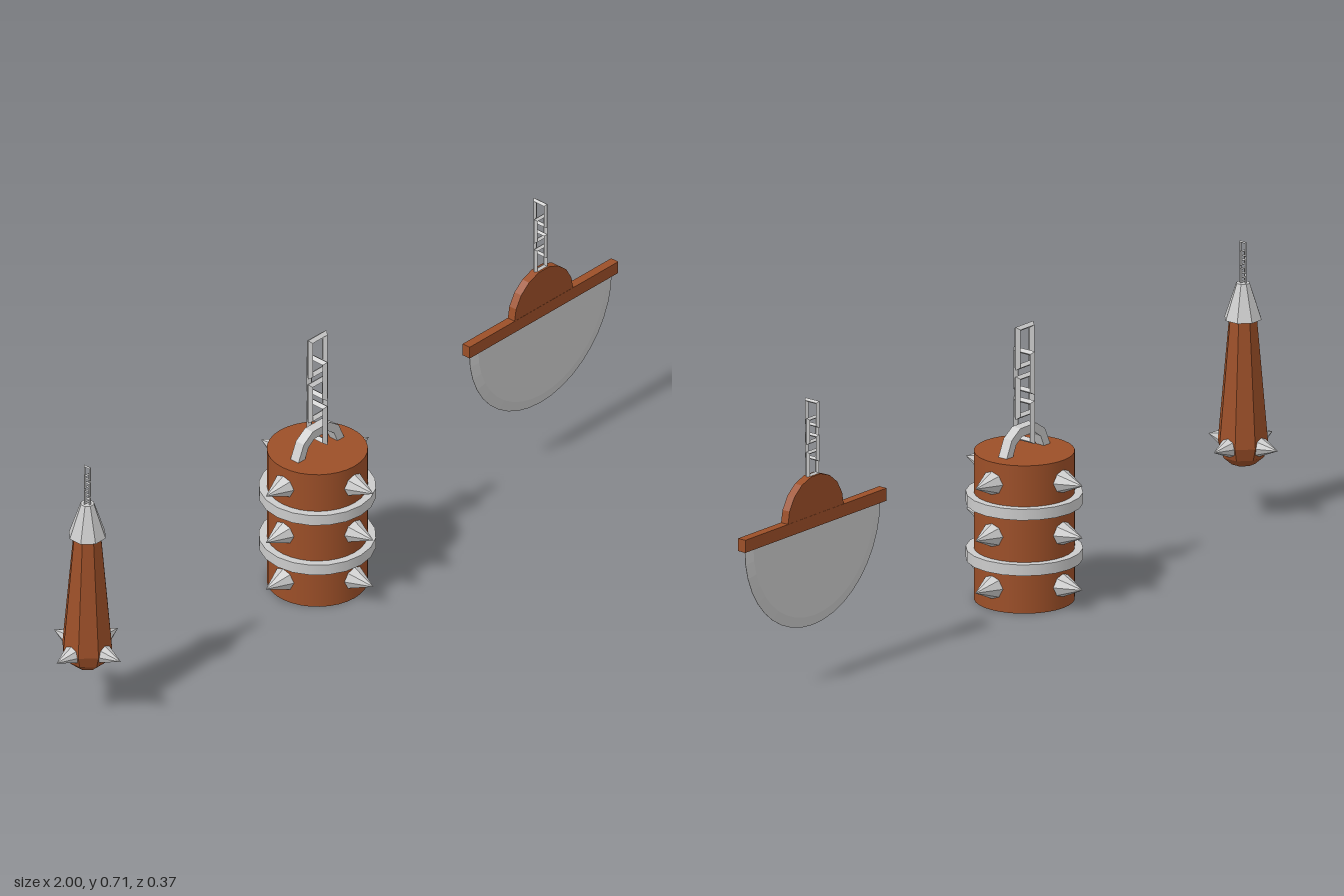
import * as THREE from 'three';

const wood = new THREE.MeshStandardMaterial({ color: 0x9c4f28 });
const woodFlat = new THREE.MeshStandardMaterial({ color: 0x9c4f28, flatShading: true });
const metal = new THREE.MeshStandardMaterial({ color: 0xcccccc });
const metalFlat = new THREE.MeshStandardMaterial({ color: 0xcccccc, flatShading: true });

function add(parent, name, geometry, material, x = 0, y = 0, z = 0) {
  const mesh = new THREE.Mesh(geometry, material);
  mesh.name = name;
  mesh.position.set(x, y, z);
  parent.add(mesh);
  return mesh;
}

function group(parent, name, x, z = 0) {
  const g = new THREE.Group();
  g.name = name;
  g.position.set(x, 0, z);
  parent.add(g);
  return g;
}

// Rectangular link with a diamond section: a four-sided ring pulled apart in y
function linkGeometry(halfW, halfH, r) {
  const geo = new THREE.TorusGeometry(halfW * Math.SQRT2 - r, r, 4, 4);
  geo.rotateZ(Math.PI / 4);
  const p = geo.attributes.position;
  for (let i = 0; i < p.count; i++) p.setY(i, p.getY(i) + Math.sign(p.getY(i)) * (halfH - halfW));
  return geo;
}

// Chain hanging down from yTop, every other link turned a quarter
function chain(parent, yTop, halfW, halfH, r, pitch, count, firstTurned) {
  const g = group(parent, 'chain', 0);
  const geo = linkGeometry(halfW, halfH, r);
  for (let i = 0; i < count; i++) {
    const link = add(g, 'chainLink', geo, metalFlat, 0, yTop - halfH - i * pitch, 0);
    if ((i % 2 === 0) === firstTurned) link.rotation.y = Math.PI / 2;
  }
}

// Four cones pointing outward at one height
function spikeRing(parent, y, radius, inner, tip) {
  const geo = new THREE.ConeGeometry(radius, tip - inner, 8);
  geo.rotateX(Math.PI / 2);
  geo.translate(0, 0, (inner + tip) / 2);
  for (let i = 0; i < 4; i++) {
    add(parent, 'spike', geo, metalFlat, 0, y, 0).rotation.y = i * Math.PI / 2;
  }
}

// Shape made from an arc of straight segments
function arcPoints(radius, from, to, segments) {
  return Array.from({ length: segments + 1 }, (_, i) => {
    const a = from + (to - from) * i / segments;
    return new THREE.Vector2(Math.cos(a) * radius, Math.sin(a) * radius);
  });
}

function buildClub(root) {
  const club = group(root, 'hangingClub', -0.89);
  const profile = [[0, 0.134], [0.03, 0.138], [0.053, 0.158], [0.064, 0.19], [0.035, 0.51]]
    .map(([x, y]) => new THREE.Vector2(x, y));
  add(club, 'clubBody', new THREE.LatheGeometry(profile, 8, Math.PI / 8), woodFlat);
  const cap = new THREE.CylinderGeometry(0.017, 0.047, 0.09, 8, 1, false, Math.PI / 8);
  add(club, 'clubCap', cap, metalFlat, 0, 0.55, 0);
  spikeRing(club, 0.19, 0.026, 0.05, 0.11);
  chain(club, 0.7, 0.011, 0.019, 0.0035, 0.022, 5, true);
}

function buildLog(root) {
  const log = group(root, 'spikedLog', -0.07);
  add(log, 'logBody', new THREE.CylinderGeometry(0.122, 0.122, 0.375, 32), wood, 0, 0.1875, 0);
  const band = new THREE.CylinderGeometry(0.142, 0.142, 0.028, 20);
  for (const y of [0.116, 0.257]) add(log, 'logBand', band, metal, 0, y, 0);
  for (const y of [0.058, 0.19, 0.322]) spikeRing(log, y, 0.032, 0.116, 0.184);

  // Arched handle on the top
  const outer = [[-0.084, 0.37], [-0.062, 0.418], [-0.03, 0.44], [0.03, 0.44], [0.062, 0.418], [0.084, 0.37]];
  const inner = [[0.06, 0.37], [0.046, 0.402], [0.024, 0.418], [-0.024, 0.418], [-0.046, 0.402], [-0.06, 0.37]];
  const arch = new THREE.Shape([...outer, ...inner].map(([x, y]) => new THREE.Vector2(x, y)));
  const handle = new THREE.ExtrudeGeometry(arch, { depth: 0.026, bevelEnabled: false });
  add(log, 'logHandle', handle, metalFlat, 0, 0, -0.013);
  chain(log, 0.695, 0.033, 0.055, 0.0095, 0.0625, 4, false);
}

function buildBlade(root) {
  const pendulum = group(root, 'pendulumBlade', 0.732, -0.006);
  add(pendulum, 'bladeBar', new THREE.BoxGeometry(0.53, 0.032, 0.023), wood, 0, 0.401, 0);
  const hub = new THREE.ExtrudeGeometry(new THREE.Shape(arcPoints(0.105, 0, Math.PI, 9)),
    { depth: 0.022, bevelEnabled: false });
  add(pendulum, 'bladeHub', hub, woodFlat, 0, 0.412, -0.011);

  // Half disc with a ground edge
  const blade = new THREE.ExtrudeGeometry(new THREE.Shape(arcPoints(0.228, Math.PI, 2 * Math.PI, 20)),
    { depth: 0.001, bevelThickness: 0.0055, bevelSize: 0.026, bevelSegments: 1 });
  add(pendulum, 'blade', blade, metalFlat, 0, 0.388, -0.0005);
  chain(pendulum, 0.706, 0.022, 0.034, 0.0065, 0.0425, 4, true);
}

export function createModel() {
  const root = new THREE.Group();
  root.name = 'hangingTraps';
  buildClub(root);
  buildLog(root);
  buildBlade(root);
  return root;
}
